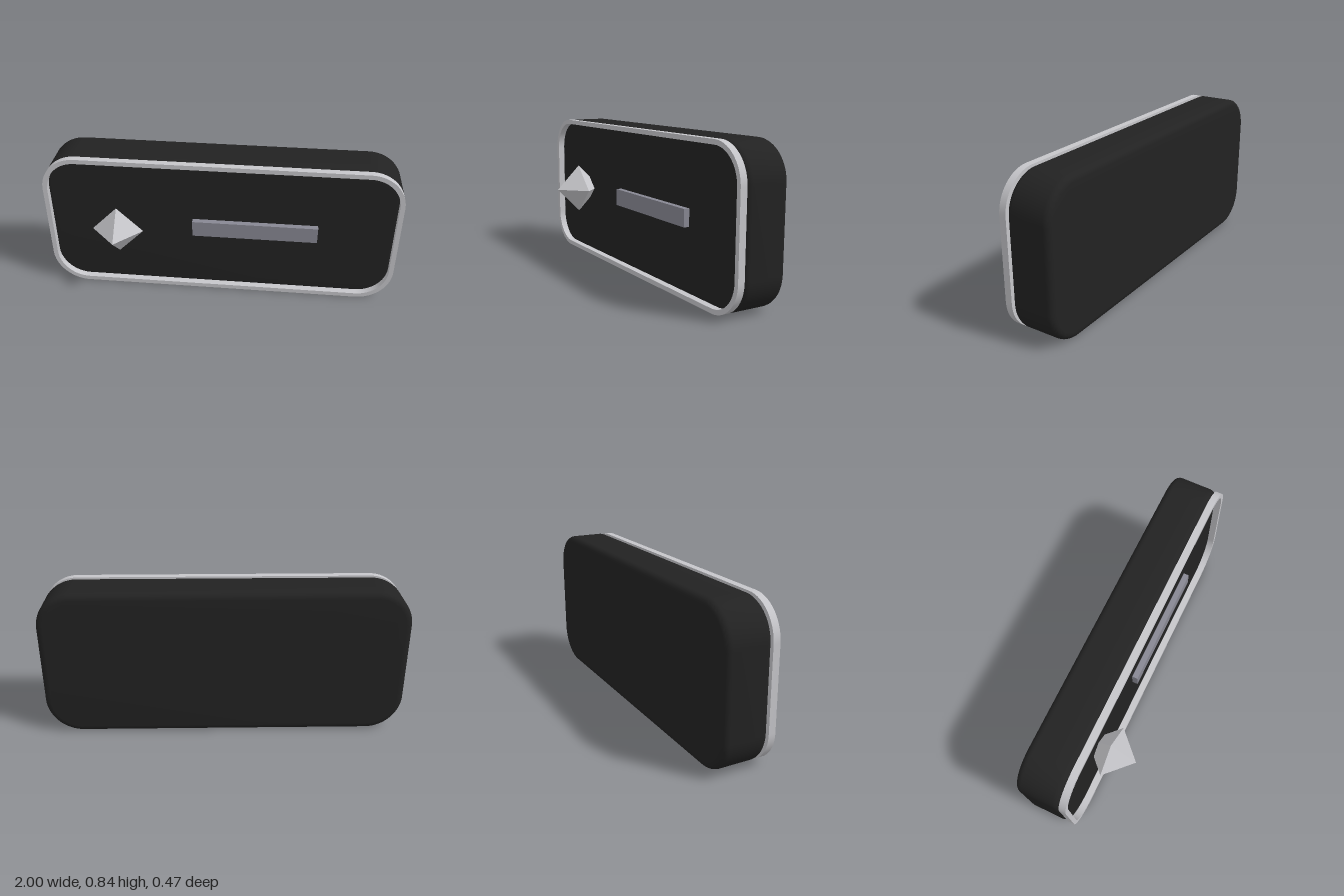
import * as THREE from 'three';
import { toCreasedNormals } from 'three/addons/utils/BufferGeometryUtils.js';

const W = 2, H = 0.84;

// Rounded rectangle centred on the origin
function roundedRect(target, w, h, r) {
  const x = w / 2 - r, y = h / 2 - r;
  target.absarc(x, y, r, 0, Math.PI / 2);
  target.absarc(-x, y, r, Math.PI / 2, Math.PI);
  target.absarc(-x, -y, r, Math.PI, Math.PI * 1.5);
  target.absarc(x, -y, r, Math.PI * 1.5, Math.PI * 2);
  target.closePath();
  return target;
}

export function createModel() {
  const group = new THREE.Group();
  const material = (name, color) => new THREE.MeshStandardMaterial({ name, color });
  const black = material('black', 0x222222);
  const silver = material('silver', 0xc6c6ca);
  const slate = material('slate', 0x888893);

  const add = (name, geometry, mat, x, y, z) => {
    const mesh = new THREE.Mesh(geometry, mat);
    mesh.name = name;
    mesh.position.set(x, y, z);
    group.add(mesh);
  };

  // Body: slab with softly rounded front and back edges
  const bevel = 0.035;
  const slab = new THREE.ExtrudeGeometry(
    roundedRect(new THREE.Shape(), W - 2 * bevel, H - 2 * bevel, 0.2 - bevel),
    { depth: 0.247 - 2 * bevel, bevelSize: bevel, bevelThickness: bevel, bevelSegments: 5, curveSegments: 12 });
  add('body', toCreasedNormals(slab, 0.6), black, 0, H / 2, -0.235 + bevel);

  // Rim: thin frame around the front
  const frame = roundedRect(new THREE.Shape(), W, H, 0.2);
  frame.holes.push(roundedRect(new THREE.Path(), W - 0.052, H - 0.052, 0.174));
  const rim = new THREE.ExtrudeGeometry(frame, { depth: 0.038, bevelEnabled: false, curveSegments: 12 });
  add('rim', toCreasedNormals(rim, 0.6), silver, 0, H / 2, 0.012);

  // Faceted knob, half sunk into the body
  add('knob', new THREE.OctahedronGeometry(0.145), silver, -0.58, H / 2, 0.09);

  // Raised bar on the front face
  add('bar', new THREE.BoxGeometry(0.71, 0.095, 0.05), slate, 0.195, 0.422, 0.019);

  return group;
}
